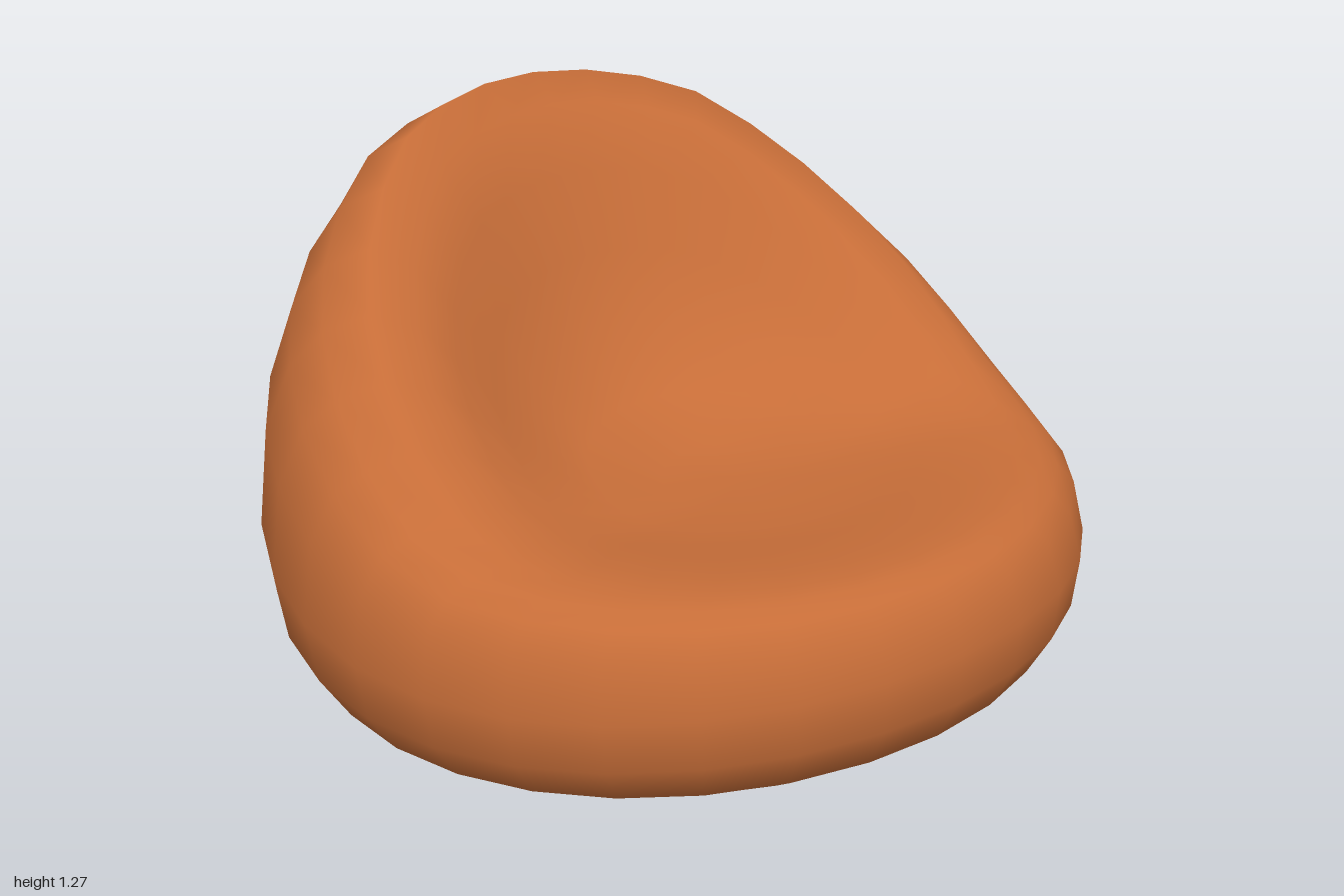
import * as THREE from 'three';

const SIDES = 32;
const FLOOR = 0.45; // lowest point of the seat hollow

// Height of the rim (y) along x, falling from the backrest to the front lip
const RIM = [[-0.6, 1.275], [-0.49, 1.2], [-0.35, 1.06], [-0.2, 0.925], [0, 0.76],
  [0.2, 0.595], [0.35, 0.52], [0.55, 0.493], [0.8, 0.48]];

function rimHeight(x) {
  for (let i = 1; i < RIM.length; i++) {
    const [x0, y0] = RIM[i - 1], [x1, y1] = RIM[i];
    if (x <= x1) return y0 + (y1 - y0) * Math.max(0, (x - x0) / (x1 - x0));
  }
  return RIM[RIM.length - 1][1];
}

// Smooth value around a ring from its values at the back, sides and lip
const around = (c, [back, side, lip]) =>
  side + (lip - back) / 2 * c + ((lip + back) / 2 - side) * c * c;

const BELT = [0.6, 0.31, 0.32]; // heights of the widest ring
const rimAt = (c) => rimHeight(0.1 + 0.7 * c);
const low = (...h) => (c) => around(c, h);
const upper = (...w) => (c) => THREE.MathUtils.lerp(around(c, BELT), rimAt(c), around(c, w));
const hollow = (w) => (c) => THREE.MathUtils.lerp(FLOOR, rimAt(c), w);

// Rings: x at back, x at lip, half width in z, height rule
const RINGS = [
  // underside
  [-0.35, 0.4, 0.4, low(0, 0, 0)],
  [-0.63, 0.68, 0.72, low(0, 0, 0)],
  // outer body
  [-0.75, 0.8, 0.83, low(0.05, 0.02, 0.03)],
  [-0.85, 0.89, 0.92, low(0.15, 0.07, 0.1)],
  [-0.935, 0.94, 0.98, low(0.34, 0.17, 0.2)],
  [-0.95, 0.947, 1.0, low(...BELT)],
  [-0.905, 0.91, 0.975, upper(0.37, 0.5, 0.62)],
  [-0.83, 0.87, 0.92, upper(0.69, 0.78, 0.84)],
  [-0.72, 0.83, 0.86, upper(0.91, 0.92, 0.95)],
  // rim
  [-0.6, 0.79, 0.77, rimAt],
  // seat hollow
  [-0.51, 0.72, 0.67, hollow(0.92)],
  [-0.43, 0.65, 0.59, hollow(0.73)],
  [-0.35, 0.59, 0.51, hollow(0.5)],
  [-0.26, 0.54, 0.43, hollow(0.28)],
  [-0.13, 0.48, 0.33, hollow(0.11)],
  [0.05, 0.4, 0.18, hollow(0.02)],
];

function bagGeometry() {
  const pos = [], index = [];
  for (const [back, lip, rz, height] of RINGS) {
    for (let j = 0; j < SIDES; j++) {
      const a = j / SIDES * Math.PI * 2, c = Math.cos(a);
      pos.push((back + lip) / 2 + (lip - back) / 2 * c, height(c), rz * Math.sin(a));
    }
  }
  const last = (RINGS.length - 1) * SIDES;
  const bottom = RINGS.length * SIDES, seat = bottom + 1;
  pos.push(0.02, 0, 0, 0.23, FLOOR, 0);
  for (let j = 0; j < SIDES; j++) {
    const k = (j + 1) % SIDES;
    for (let r = 0; r < last; r += SIDES) {
      index.push(r + j, r + SIDES + j, r + k, r + k, r + SIDES + j, r + SIDES + k);
    }
    index.push(bottom, j, k, seat, last + k, last + j);
  }
  const geo = new THREE.BufferGeometry();
  geo.setAttribute('position', new THREE.Float32BufferAttribute(pos, 3));
  geo.setIndex(index);
  geo.computeVertexNormals();
  return geo;
}

export function createModel() {
  const group = new THREE.Group();
  group.name = 'beanBagChair';
  const fabric = new THREE.MeshStandardMaterial({ color: 0xc66d38 });
  fabric.name = 'orangeFabric';
  const bag = new THREE.Mesh(bagGeometry(), fabric);
  bag.name = 'bag';
  group.add(bag);
  return group;
}
